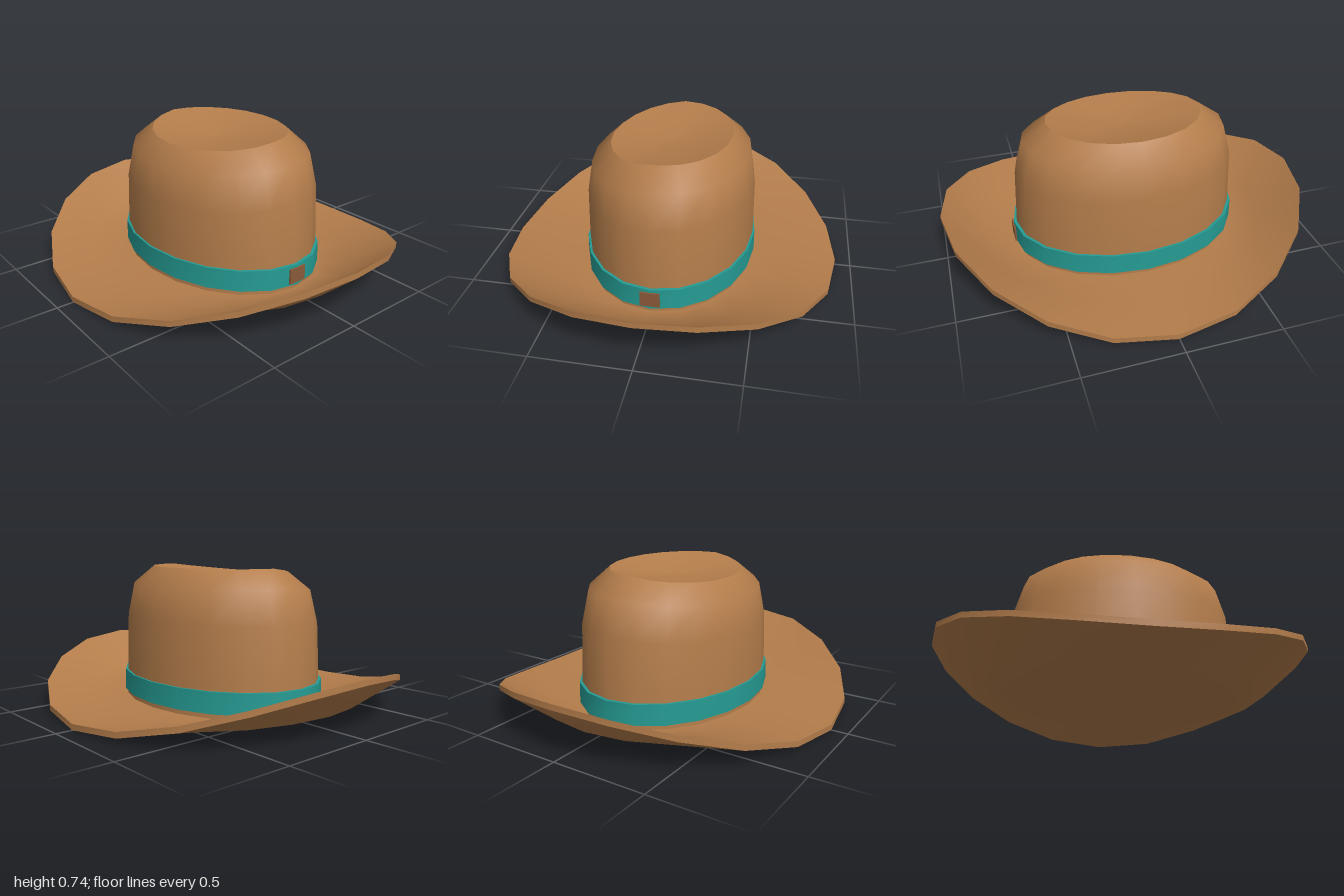
import * as THREE from 'three';

const SEGMENTS = 20;

// Elliptical ring of points: half-widths rx and rz, height y plus an optional rule
const ring = (rx, rz, y, rule = () => 0) => {
  const points = [];
  for (let i = 0; i < SEGMENTS; i++) {
    const a = (i / SEGMENTS) * Math.PI * 2;
    points.push([rx * Math.cos(a), y + rule(Math.cos(a), Math.sin(a)), rz * Math.sin(a)]);
  }
  return points;
};

// Skin through consecutive rings, smooth inside one skin and creased between skins
function loft(name, rings, material) {
  const index = [];
  for (let r = 0; r < rings.length - 1; r++) {
    for (let i = 0; i < SEGMENTS; i++) {
      const j = (i + 1) % SEGMENTS;
      const a = r * SEGMENTS + i, b = r * SEGMENTS + j;
      const c = a + SEGMENTS, d = b + SEGMENTS;
      index.push(a, c, b, b, c, d);
    }
  }
  const geometry = new THREE.BufferGeometry();
  geometry.setAttribute('position', new THREE.Float32BufferAttribute(rings.flat(2), 3));
  geometry.setIndex(index);
  geometry.computeVertexNormals();
  const mesh = new THREE.Mesh(geometry, material);
  mesh.name = name;
  return mesh;
}

export function createModel() {
  const felt = new THREE.MeshStandardMaterial({ color: 0xb47d4b });
  felt.name = 'tan felt';
  const ribbon = new THREE.MeshStandardMaterial({ color: 0x259b93 });
  ribbon.name = 'teal ribbon';
  const leather = new THREE.MeshStandardMaterial({ color: 0x8a5a38 });
  leather.name = 'brown leather';

  const hat = new THREE.Group();
  hat.name = 'hat';

  // Brim: flat in the middle, curling up towards both sides
  const brim = new THREE.Group();
  brim.name = 'brim';
  const curl = (lift) => (c) => lift * c * c;
  const brimRings = (y) => [
    ring(0, 0, y),
    ring(0.62, 0.46, y),
    ring(0.79, 0.67, y, curl(0.064)),
    ring(1, 0.915, y, curl(0.25)),
  ];
  const under = brimRings(0);
  const upper = brimRings(0.03);
  brim.add(
    loft('brimUnderside', under, felt),
    loft('brimEdge', [under[3], upper[3]], felt),
    loft('brimTop', upper.reverse(), felt),
  );
  hat.add(brim);

  // Crown: rounded shoulders, pinched lower at the front
  const pinch = (c, s) => -0.04 * Math.max(0, s);
  const rim = ring(0.415, 0.32, 0.742, pinch);
  hat.add(loft('crown', [
    ring(0.612, 0.452, 0.03),
    ring(0.607, 0.45, 0.2),
    ring(0.592, 0.445, 0.48, pinch),
    ring(0.545, 0.417, 0.65, pinch),
    rim,
  ], felt));

  // Shallow dent in the top of the crown
  hat.add(loft('crownDent', [
    rim,
    ring(0.21, 0.16, 0.695, (c, s) => -0.015 * Math.max(0, s)),
    ring(0, 0, 0.68),
  ], felt));

  // Ribbon band around the foot of the crown
  const band = new THREE.Group();
  band.name = 'hatBand';
  const bandLow = ring(0.627, 0.463, 0.055);
  const bandHigh = ring(0.625, 0.461, 0.165);
  band.add(
    loft('bandSide', [bandLow, bandHigh], ribbon),
    loft('bandTopEdge', [bandHigh, ring(0.605, 0.446, 0.165)], ribbon),
    loft('bandBottomEdge', [ring(0.605, 0.446, 0.055), bandLow], ribbon),
  );
  hat.add(band);

  // Small leather tab on the left side of the band
  const tab = new THREE.Mesh(new THREE.BoxGeometry(0.009, 0.08, 0.1), leather);
  tab.name = 'bandTab';
  tab.position.set(0.626, 0.11, 0);
  hat.add(tab);

  return hat;
}
